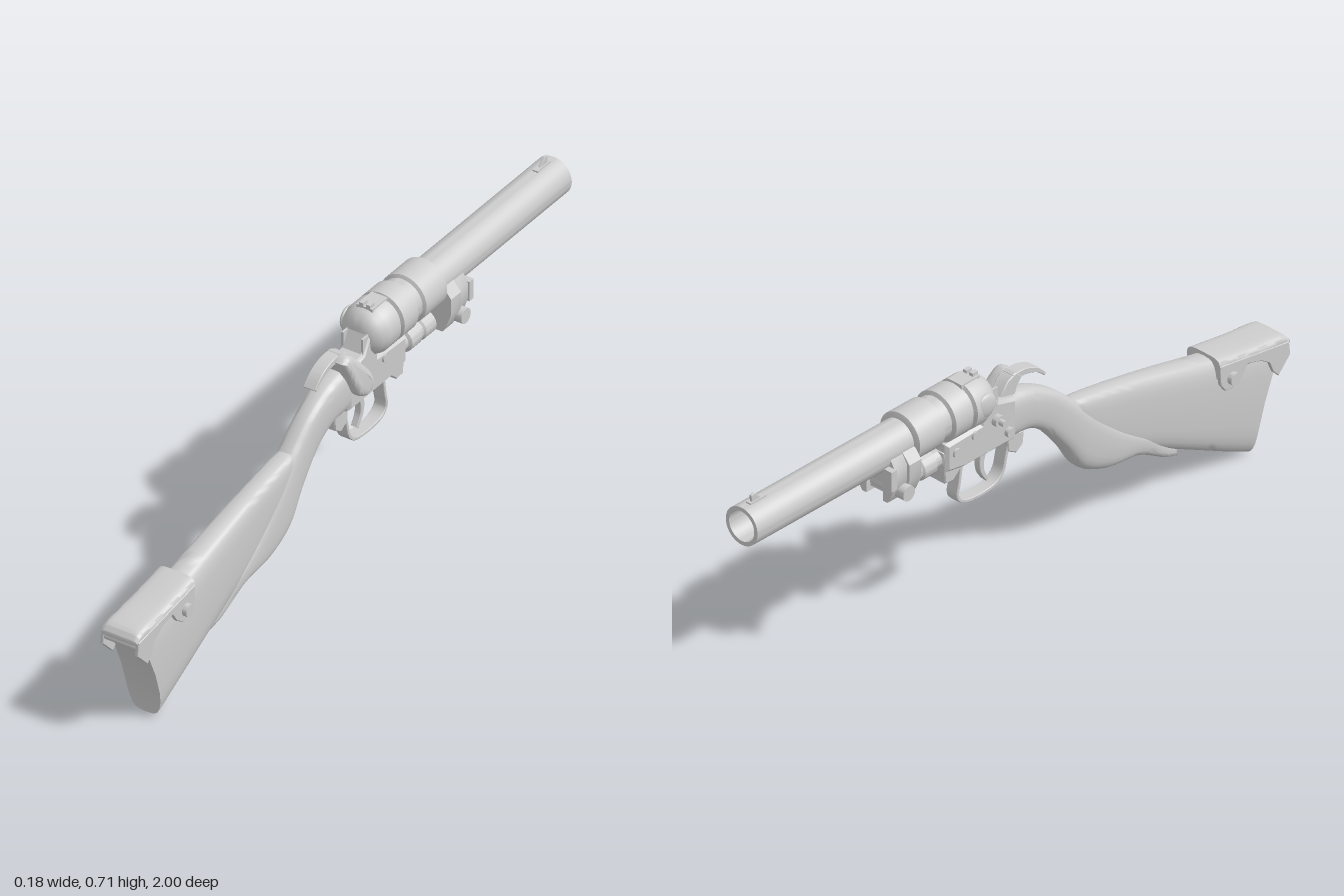
import * as THREE from 'three';
import { toCreasedNormals } from 'three/addons/utils/BufferGeometryUtils.js';

const grey = new THREE.MeshStandardMaterial({ color: 0xcccccc });
grey.name = 'light grey';

export function createModel() {
  const model = new THREE.Group();
  const add = (name, geo, crease = 0.6) => {
    const mesh = new THREE.Mesh(crease ? toCreasedNormals(geo, crease) : geo, grey);
    mesh.name = name;
    model.add(mesh);
  };

  // Side profile of [z, y] points, extruded across x; lean narrows it towards the top
  const plate = (name, pts, x0, x1, bevel = 0.003, smooth = false, lean = 0) => {
    let v = pts.map(([z, y]) => new THREE.Vector2(-z, y));
    if (smooth) v = new THREE.SplineCurve([...v, v[0]]).getPoints(40).slice(0, -1);
    const geo = new THREE.ExtrudeGeometry(new THREE.Shape(v), {
      depth: x1 - x0 - 2 * bevel, bevelEnabled: bevel > 0, bevelSize: bevel,
      bevelOffset: -bevel, bevelThickness: bevel, bevelSegments: smooth ? 4 : 1,
    });
    geo.translate(0, 0, x0 + bevel).rotateY(Math.PI / 2);
    const p = geo.attributes.position;
    for (let i = 0; i < p.count; i++) p.setX(i, p.getX(i) - lean * Math.max(0, p.getY(i) - 0.55));
    add(name, geo);
  };

  // Strip of metal following a [z, y] path, tapering from thickness t0 to t1
  const strip = (name, path, t0, t1, halfWidth) => {
    const curve = new THREE.SplineCurve(path.map(([z, y]) => new THREE.Vector2(z, y)));
    const a = [], b = [];
    for (let i = 0; i <= 28; i++) {
      const p = curve.getPoint(i / 28), d = curve.getTangent(i / 28);
      const t = THREE.MathUtils.lerp(t0, t1, i / 28) / 2;
      a.push([p.x - d.y * t, p.y + d.x * t]);
      b.unshift([p.x + d.y * t, p.y - d.x * t]);
    }
    plate(name, [...a, ...b], -halfWidth, halfWidth, 0.0015);
  };

  // Turned part along the bore: [radius, z] from rear to muzzle
  const turned = (name, pts, y) => {
    const geo = new THREE.LatheGeometry(pts.map(([r, z]) => new THREE.Vector2(r, -z)), 40);
    add(name, geo.rotateX(-Math.PI / 2).translate(0, y, 0));
  };

  // Pin or screw lying across x
  const pin = (name, r, x0, x1, y, z) => {
    const geo = new THREE.CylinderGeometry(r, r, x1 - x0, 20).rotateZ(Math.PI / 2);
    add(name, geo.translate((x0 + x1) / 2, y, z));
  };

  const box = (name, w, h, d, x, y, z) =>
    add(name, new THREE.BoxGeometry(w, h, d).translate(x, y, z));

  // Body lofted through [zTop, yTop, zBottom, yBottom, halfWidth], rear to front; dish hollows the rear
  const loft = (name, stations, power, dish = 0) => {
    const top = new THREE.CatmullRomCurve3(stations.map(s => new THREE.Vector3(s[4], s[1], s[0])));
    const bottom = new THREE.CatmullRomCurve3(stations.map(s => new THREE.Vector3(s[4], s[3], s[2])));
    const N = 28, M = 40, pos = [], idx = [];
    const round = c => Math.sign(c) * Math.abs(c) ** power;
    for (let j = 0; j <= M; j++) {
      const t = top.getPoint(j / M), b = bottom.getPoint(j / M);
      const hollow = 4 * dish * Math.max(0, 1 - j / 10);
      for (let i = 0; i < N; i++) {
        const a = (i / N) * Math.PI * 2;
        const k = (round(Math.sin(a)) + 1) / 2;
        pos.push(round(Math.cos(a)) * t.x, b.y + (t.y - b.y) * k,
          b.z + (t.z - b.z) * k - hollow * k * (1 - k));
      }
    }
    for (let j = 0; j < M; j++) for (let i = 0; i < N; i++) {
      const a = j * N + i, b = j * N + (i + 1) % N;
      idx.push(a, a + N, b, b, a + N, b + N);
    }
    // End caps, bridged straight across between mirrored points
    for (let i = 0; i < N / 2; i++) {
      const r = [i, i + 1, N / 2 - i - 1, N / 2 - i].map(k => (k + 3 * N / 4) % N);
      const l = (N - i + 3 * N / 4) % N, m = (N - i - 1 + 3 * N / 4) % N, e = M * N;
      idx.push(r[0], r[1], m, r[0], m, l, e + r[0], e + m, e + r[1], e + r[0], e + l, e + m);
    }
    const geo = new THREE.BufferGeometry();
    geo.setAttribute('position', new THREE.Float32BufferAttribute(pos, 3));
    geo.setIndex(idx);
    add(name, geo, 0.9);
  };

  // Stock and the curved grip that runs beneath it
  loft('stock', [
    [0.985, 0.305, 0.875, 0, 0.054], [0.90, 0.325, 0.82, 0.025, 0.053],
    [0.74, 0.352, 0.70, 0.085, 0.049], [0.57, 0.392, 0.57, 0.15, 0.044],
    [0.40, 0.428, 0.42, 0.225, 0.038], [0.25, 0.452, 0.28, 0.32, 0.033],
    [0.20, 0.455, 0.22, 0.38, 0.026],
  ], 0.55, 0.02);
  loft('grip', [
    [0.61, 0.15, 0.622, 0.10, 0.018], [0.56, 0.185, 0.57, 0.122, 0.030],
    [0.50, 0.235, 0.46, 0.181, 0.039], [0.41, 0.30, 0.345, 0.195, 0.042],
    [0.31, 0.385, 0.255, 0.235, 0.041], [0.235, 0.455, 0.195, 0.32, 0.037],
    [0.145, 0.53, 0.12, 0.408, 0.035], [0.06, 0.573, 0.06, 0.447, 0.038],
    [-0.03, 0.59, -0.03, 0.455, 0.039],
  ], 0.65);

  // Butt cover: arched top, two side cheeks, cross bar and thumb screws
  loft('buttCoverTop', [
    [1, 0.307, 1, 0.292, 0.057], [0.985, 0.322, 0.985, 0.289, 0.058],
    [0.86, 0.341, 0.86, 0.291, 0.059], [0.735, 0.363, 0.735, 0.295, 0.059],
  ], 0.5);
  for (const s of [-1, 1]) {
    plate('buttCoverCheek', [
      [0.995, 0.302], [1, 0.262], [0.955, 0.215], [0.935, 0.235], [0.92, 0.27], [0.89, 0.29],
      [0.84, 0.305], [0.82, 0.275], [0.79, 0.255], [0.755, 0.26], [0.737, 0.285], [0.735, 0.342],
    ], s > 0 ? 0.049 : -0.060, s > 0 ? 0.060 : -0.049, 0.002);
    pin('buttScrew', 0.018, s > 0 ? 0.05 : -0.074, s > 0 ? 0.074 : -0.05, 0.29, 0.78);
  }
  pin('buttCrossBar', 0.011, -0.05, 0.05, 0.283, 0.985);

  // Frame and recoil shield
  plate('frame', [
    [-0.005, 0.457], [-0.005, 0.583], [-0.07, 0.60], [-0.10, 0.655], [-0.125, 0.66],
    [-0.14, 0.56], [-0.27, 0.555], [-0.27, 0.47], [-0.20, 0.458],
  ], -0.039, 0.039, 0.009);
  for (const s of [-1, 1]) box('hammerEar', 0.007, 0.06, 0.03, s * 0.031, 0.615, -0.088);
  plate('frameFrontFoot', [[-0.19, 0.47], [-0.235, 0.43], [-0.265, 0.432], [-0.275, 0.53], [-0.20, 0.53]],
    -0.03, 0.03);

  // Cylinder, barrel and lower tube
  const axis = 0.63;
  turned('cylinder', [
    [0, -0.095], [0.03, -0.095], [0.05, -0.103], [0.066, -0.12], [0.074, -0.145], [0.074, -0.19],
    [0.064, -0.195], [0.064, -0.203], [0.074, -0.207], [0.074, -0.27], [0.063, -0.275],
    [0.063, -0.305], [0.072, -0.31], [0.072, -0.405], [0.056, -0.412], [0, -0.412],
  ], axis);
  turned('barrel', [
    [0.057, -0.40], [0.057, -1], [0.045, -1], [0.045, -0.75], [0, -0.75],
  ], axis);
  turned('lowerTube', [
    [0, -0.25], [0.026, -0.25], [0.026, -0.295], [0.035, -0.30], [0.035, -0.345], [0.03, -0.35],
    [0.03, -0.36], [0.035, -0.365], [0.035, -0.415], [0.024, -0.42], [0.024, -0.46], [0, -0.46],
  ], 0.505);

  // Barrel lug: stepped cheeks either side of a centre block, held by cross screws
  const lugCheek = (s, z0, z1, half) => {
    const pts = [[0.048, 0.64], [half, 0.60], [half, 0.552], [half - 0.018, 0.505],
      [half - 0.028, 0.49], [0.03, 0.49], [0.03, 0.58]];
    const shape = new THREE.Shape(pts.map(([x, y]) => new THREE.Vector2(s * x, y)));
    const geo = new THREE.ExtrudeGeometry(shape, { depth: z1 - z0, bevelEnabled: false });
    add('lugCheek', geo.translate(0, 0, z0));
  };
  for (const s of [-1, 1]) {
    lugCheek(s, -0.455, -0.41, 0.081);
    lugCheek(s, -0.50, -0.455, 0.073);
    box('lugRib', 0.03, 0.06, 0.02, s * 0.063, 0.575, -0.508);
  }
  box('lugCentre', 0.07, 0.085, 0.075, 0, 0.5475, -0.4475);
  pin('lugScrew', 0.022, -0.09, 0.09, 0.522, -0.465);

  // Hammer, spur and the side lever
  plate('hammer', [
    [0.035, 0.625], [0.01, 0.643], [-0.02, 0.63], [-0.055, 0.585], [-0.05, 0.56], [0.0, 0.56], [0.015, 0.60],
  ], -0.02, 0.02);
  strip('hammerSpur', [[0.0, 0.628], [0.045, 0.63], [0.09, 0.615], [0.122, 0.588]], 0.024, 0.008, 0.019);
  plate('sideLever', [
    [0.035, 0.63], [0.005, 0.642], [-0.035, 0.605], [-0.075, 0.555], [-0.088, 0.515],
    [-0.06, 0.49], [-0.02, 0.508], [0.0, 0.545], [0.015, 0.585],
  ], 0.018, 0.066, 0.016, true, 0.16);

  // Trigger and guard
  strip('triggerGuard', [
    [-0.01, 0.46], [-0.025, 0.40], [-0.036, 0.36], [-0.065, 0.335], [-0.12, 0.328],
    [-0.18, 0.335], [-0.206, 0.36], [-0.20, 0.40], [-0.19, 0.465],
  ], 0.010, 0.010, 0.019);
  plate('guardFoot', [[0.04, 0.455], [0.035, 0.415], [0.01, 0.398], [-0.02, 0.415], [-0.025, 0.465]], -0.022, 0.022);
  strip('trigger', [[-0.085, 0.465], [-0.105, 0.43], [-0.105, 0.39], [-0.085, 0.355]], 0.024, 0.01, 0.010);

  // Frame screws, side knob and loading gate
  pin('sideKnobStem', 0.009, -0.072, -0.03, 0.552, -0.085);
  pin('sideKnob', 0.017, -0.055, -0.035, 0.552, -0.085);
  pin('frameScrew', 0.012, -0.045, 0.045, 0.54, -0.165);
  pin('leftScrew', 0.014, -0.052, -0.03, 0.495, -0.04);
  pin('leftScrew', 0.013, -0.046, -0.03, 0.52, -0.235);
  const gate = new THREE.SphereGeometry(1, 20, 14).scale(0.012, 0.034, 0.035).translate(-0.065, 0.637, -0.15);
  add('loadingGate', gate, 0);

  // Sights
  box('rearSightBase', 0.05, 0.014, 0.07, 0, 0.697, -0.165);
  for (const s of [-1, 1]) box('rearSightLeaf', 0.013, 0.011, 0.02, s * 0.011, 0.7075, -0.14);
  plate('frontSight', [[-0.925, 0.683], [-0.955, 0.713], [-0.968, 0.711], [-0.965, 0.683]], -0.004, 0.004, 0.001);
  box('frontSightBase', 0.016, 0.008, 0.06, 0, 0.687, -0.945);
  return model;
}
